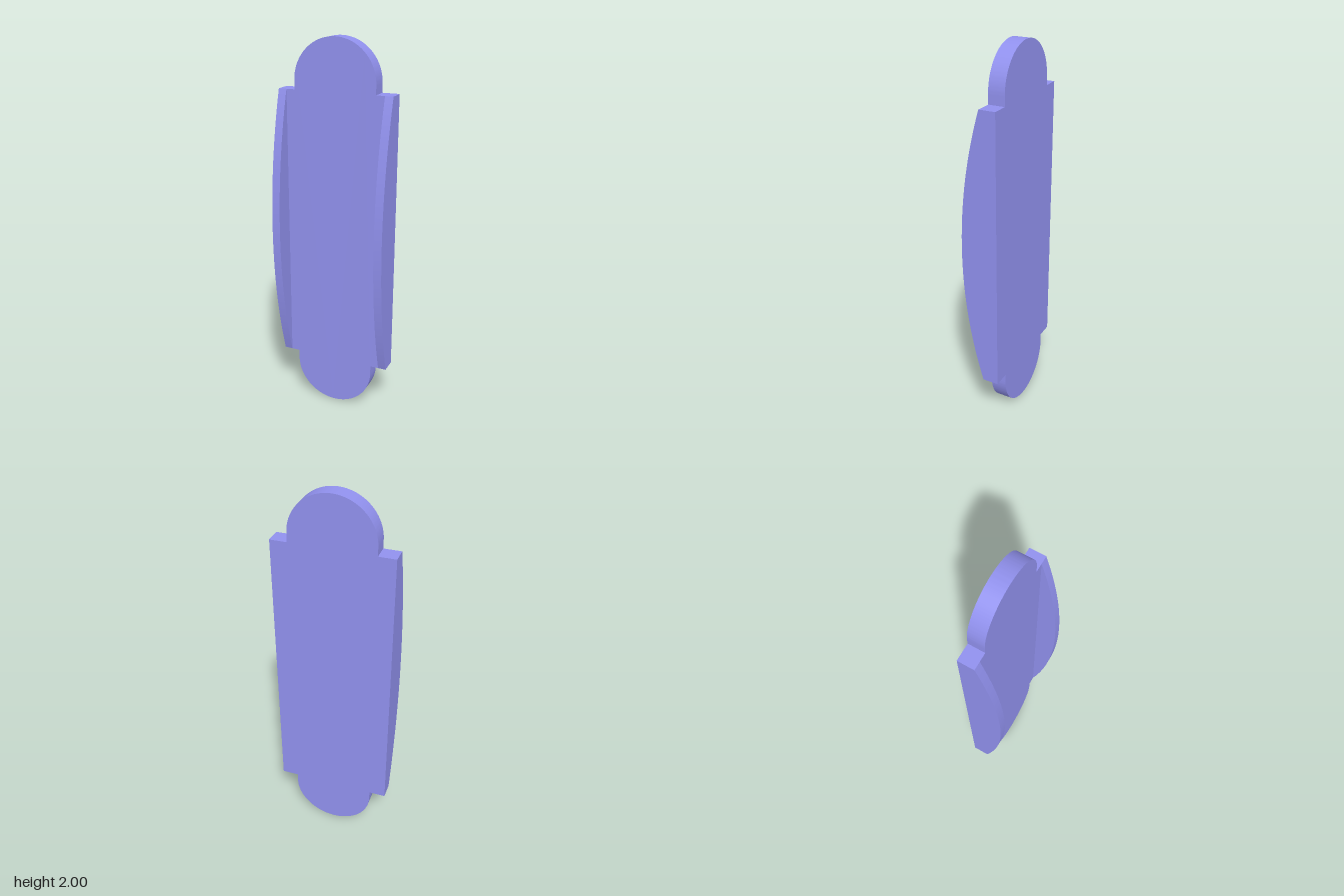
import * as THREE from 'three';
import { toCreasedNormals } from 'three/addons/utils/BufferGeometryUtils.js';

const BACK = -0.097, FACE = -0.012, CREST = 0.097; // z levels
const HALF_W = 0.305, TAB_R = 0.217, RAIL_W = 0.043;
const HALF_H = 0.737, MID = 1; // straight section, centred on y = 1

function extrude(shape, depth) {
  const geometry = new THREE.ExtrudeGeometry(shape, { depth, bevelEnabled: false, curveSegments: 48 });
  return toCreasedNormals(geometry, 0.5);
}

export function createModel() {
  const group = new THREE.Group();
  const material = new THREE.MeshStandardMaterial({ color: 0x9191ee });
  const add = (name, geometry) => {
    const mesh = new THREE.Mesh(geometry, material);
    mesh.name = name;
    group.add(mesh);
    return mesh;
  };

  // Back plate: rectangle with a rounded tab at each end
  const top = MID + HALF_H, bottom = MID - HALF_H;
  const outline = new THREE.Shape();
  outline.moveTo(HALF_W, bottom);
  outline.lineTo(HALF_W, top);
  outline.lineTo(TAB_R, top);
  outline.absarc(0, 2 - TAB_R, TAB_R, 0, Math.PI);
  outline.lineTo(-TAB_R, top);
  outline.lineTo(-HALF_W, top);
  outline.lineTo(-HALF_W, bottom);
  outline.lineTo(-TAB_R, bottom);
  outline.absarc(0, TAB_R, TAB_R, Math.PI, Math.PI * 2);
  outline.lineTo(TAB_R, bottom);
  add('backPlate', extrude(outline, FACE - BACK)).position.z = BACK;

  // Side rails: shallow circular bows, drawn in (z, y) and extruded across x
  const rise = CREST - FACE;
  const radius = (HALF_H ** 2 + rise ** 2) / (2 * rise);
  const angle = Math.asin(HALF_H / radius);
  const bow = new THREE.Shape();
  bow.absarc(CREST - radius, MID, radius, -angle, angle);
  bow.closePath();
  const railGeometry = extrude(bow, RAIL_W).rotateY(-Math.PI / 2);
  add('leftRail', railGeometry).position.x = HALF_W;
  add('rightRail', railGeometry).position.x = -HALF_W + RAIL_W;

  return group;
}
